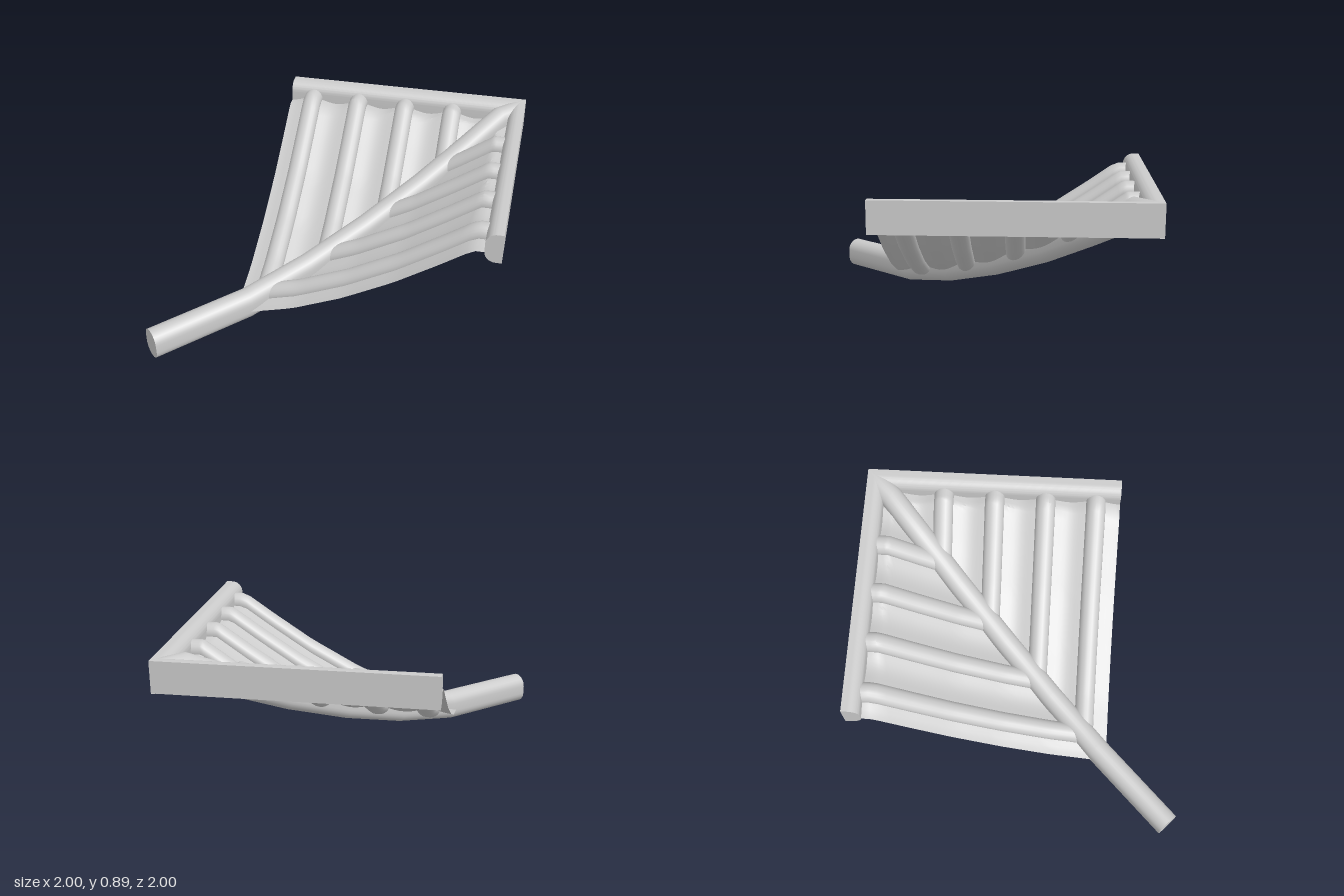
import * as THREE from 'three';
import { toCreasedNormals } from 'three/addons/utils/BufferGeometryUtils.js';

const material = new THREE.MeshStandardMaterial({ color: 0xcccccc, side: THREE.DoubleSide });

// Sagging roof curve: [x, height of the centre line]
const CURVE = [[-0.95, 0.095], [-0.5, 0.12], [-0.2, 0.205], [0.1, 0.335], [0.4, 0.5], [0.65, 0.665], [0.84, 0.797], [1, 0.797]];
function height(x) {
  let i = 1;
  while (i < CURVE.length - 1 && x > CURVE[i][0]) i++;
  const [a, b] = [CURVE[i - 1], CURVE[i]];
  return a[1] + (b[1] - a[1]) * (x - a[0]) / (b[0] - a[0]);
}

// Skin through rows of points that all have the same length
function loft(rows) {
  const n = rows[0].length, index = [];
  for (let r = 0; r < rows.length - 1; r++) {
    for (let i = 0; i < n - 1; i++) {
      const a = r * n + i, b = a + n;
      index.push(a, b, a + 1, b, b + 1, a + 1);
    }
  }
  const geometry = new THREE.BufferGeometry();
  geometry.setAttribute('position', new THREE.Float32BufferAttribute(rows.flat(2), 3));
  geometry.setIndex(index);
  geometry.computeVertexNormals();
  return toCreasedNormals(geometry, 0.6);
}

function add(parent, name, geometry) {
  const mesh = new THREE.Mesh(geometry, material);
  mesh.name = name;
  parent.add(mesh);
  return mesh;
}

// Upright capsule section of the hip ridge: [sideways, up]
function capsule(radius, straight, sides) {
  const ring = [];
  for (let i = 0; i <= sides; i++) {
    const a = -i / sides * Math.PI;
    ring.push([radius * Math.cos(a), radius * Math.sin(a) - straight]);
  }
  return [...ring, ...ring.map(([s, y]) => [-s, -y]), ring[0]];
}

function hipRidge() {
  const section = capsule(0.07, 0.025, 12), d = Math.SQRT1_2;
  const rows = CURVE.map(([x, y], k) => section.map(([s, up]) => {
    // the upper end tapers to a point in the corner
    const m = k === CURVE.length - 1 ? 1 - Math.abs(s) * d : x;
    return [m + s * d, y + up, -m + s * d];
  }));
  const first = rows[0];
  const cap = first.map(() => [-0.95, CURVE[0][1], 0.95]);
  return loft([cap, ...rows]);
}

const RIBS = [-0.41, -0.1, 0.215, 0.53];
const PITCH = 0.313, RIB = 0.06, START = -0.96, ROWS = 28;

// Point on a roof side; the second side is the first mirrored in the diagonal
const place = (x, y, z, mirrored) => mirrored ? [-z, y, -x] : [x, y, z];

function roofSide(name, mirrored) {
  const side = new THREE.Group();
  side.name = name;

  // troughed pans between the ribs, mitred along the hip
  const pans = [];
  for (let i = 0; i <= 60; i++) {
    const x = -0.56 + i / 60 * 1.5;
    const sag = 0.03 * Math.sin(Math.PI * (x - RIBS[0]) / PITCH) ** 2;
    const column = [];
    for (let j = 0; j <= ROWS; j++) {
      const z = START + (-x - START) * j / ROWS;
      column.push(place(x, height(-z) - sag, z, mirrored));
    }
    pans.push(column);
  }
  add(side, 'pans', loft(pans));

  // round ribs
  RIBS.forEach((centre, k) => {
    const rib = [];
    for (let i = 0; i <= 20; i++) {
      const a = i / 20 * Math.PI * 2;
      const x = centre + RIB * Math.cos(a);
      const column = [];
      for (let j = 0; j <= ROWS; j++) {
        const z = START + (-x - START) * j / ROWS;
        column.push(place(x, height(-z) + RIB * Math.sin(a), z, mirrored));
      }
      rib.push(column);
    }
    add(side, 'rib' + (k + 1), loft(rib));
  });
  return side;
}

// Beam with a flat outer face and a rounded inner face
function beamGeometry() {
  const r = 0.065, low = 0.705, high = 0.891;
  const shape = new THREE.Shape();
  shape.moveTo(1, low);
  shape.lineTo(1, high);
  shape.lineTo(0.9 + r, high);
  shape.absarc(0.9 + r, high - r, r, Math.PI / 2, Math.PI, false);
  shape.absarc(0.9 + r, low + r, r, Math.PI, Math.PI * 1.5, false);
  shape.closePath();
  const geometry = new THREE.ExtrudeGeometry(shape, { depth: 1.56, bevelEnabled: false, curveSegments: 8 });
  geometry.translate(0, 0, -1);
  return toCreasedNormals(geometry, 0.6);
}

export function createModel() {
  const model = new THREE.Group();
  model.name = 'roofCorner';
  add(model, 'hipRidge', hipRidge());
  model.add(roofSide('backRoofSide', false), roofSide('leftRoofSide', true));

  add(model, 'leftBeam', beamGeometry());
  const back = beamGeometry();
  back.rotateY(Math.PI / 2);   // (x, z) -> (z, -x)
  add(model, 'backBeam', back);
  // the turned beam runs from x = -1 to 0.56, so flip it end for end
  const p = back.attributes.position, n = back.attributes.normal;
  for (let i = 0; i < p.count; i++) {
    p.setX(i, -p.getX(i));
    n.setX(i, -n.getX(i));
  }
  // restore the outward winding after the flip
  const order = [];
  for (let i = 0; i < p.count; i += 3) order.push(i, i + 2, i + 1);
  back.setIndex(order);
  return model;
}
